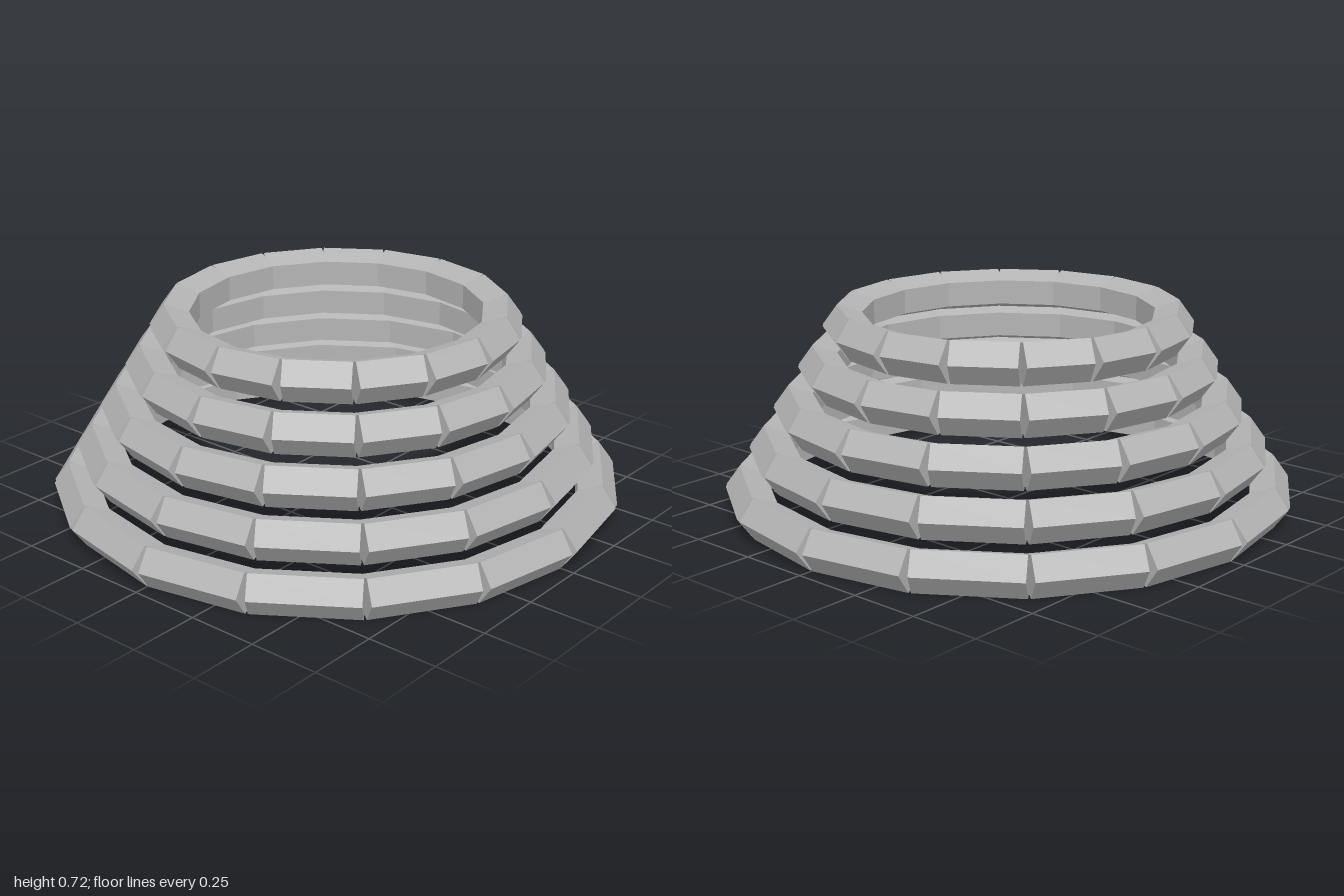
import * as THREE from 'three';

const RINGS = 5;
const SIDES = 16;
const RADIUS = 0.0754;         // radius of the five-sided bar section
const RING_HEIGHT = 0.1434;
const BOTTOM_APOTHEM = 0.908;  // centre line of the lowest ring
const RING_STEP = 0.0871;      // each ring is this much narrower

export function createModel() {
  const model = new THREE.Group();
  model.name = 'steppedRings';
  const grey = new THREE.MeshStandardMaterial({ color: 0xb4b4b4, flatShading: true });
  grey.name = 'grey';

  for (let i = 0; i < RINGS; i++) {
    const apothem = BOTTOM_APOTHEM - i * RING_STEP;
    const length = 2 * apothem * Math.tan(Math.PI / SIDES);

    // Straight pentagonal bar: ridge outwards, flat face inwards
    const bar = new THREE.CylinderGeometry(RADIUS, RADIUS, length, 5);
    bar.rotateZ(Math.PI / 2);
    bar.translate(0, 0, apothem);

    const ring = new THREE.Group();
    ring.name = `ring${i + 1}`;
    ring.position.y = RING_HEIGHT * (i + 0.5);

    // Bars meet at the centre line, leaving notches on the outer ridge
    for (let k = 0; k < SIDES; k++) {
      const block = new THREE.Mesh(bar, grey);
      block.name = 'ringBlock';
      block.rotation.y = ((k + 0.5) / SIDES) * Math.PI * 2;
      ring.add(block);
    }
    model.add(ring);
  }
  return model;
}
